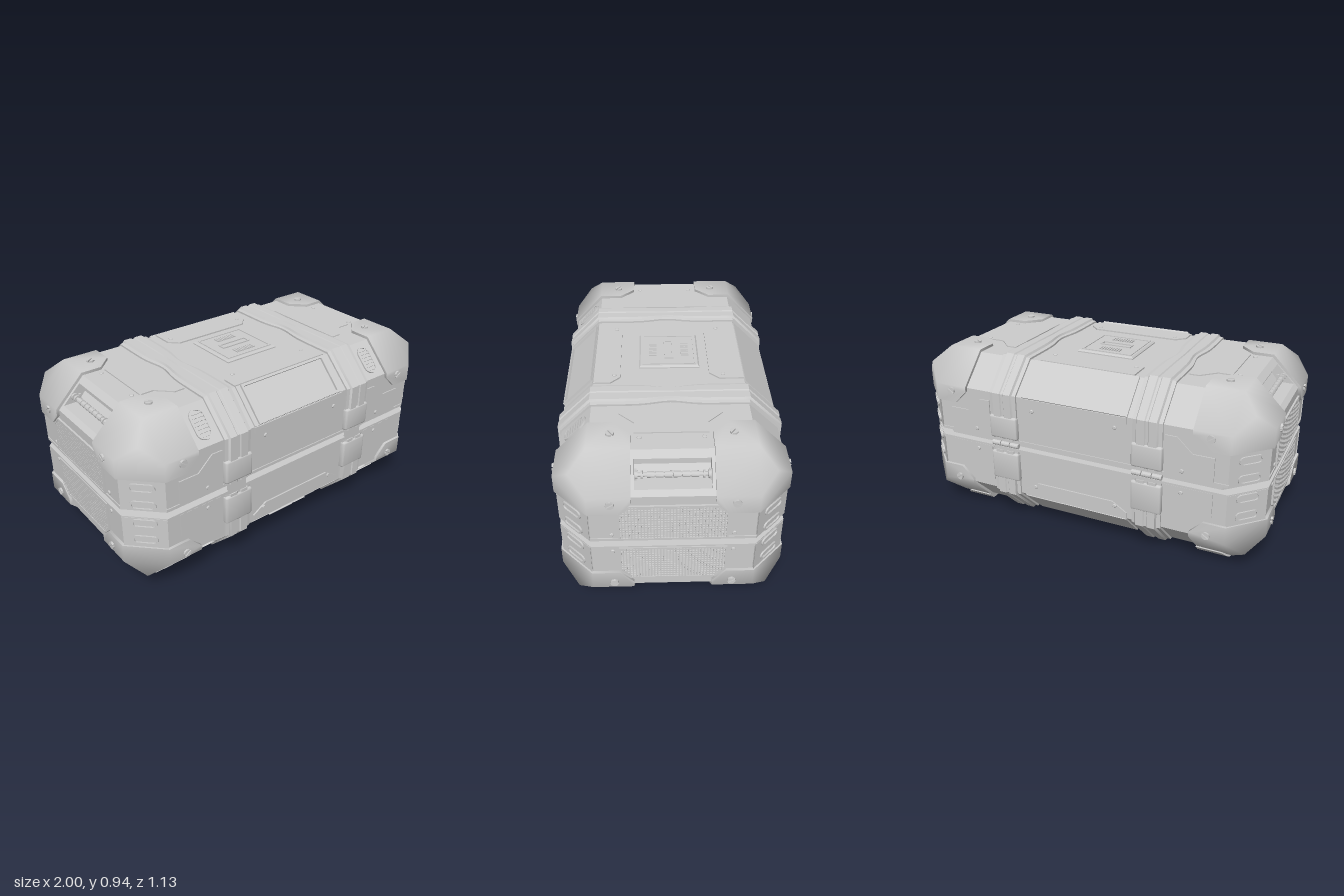
import * as THREE from 'three';
import { mergeGeometries, toCreasedNormals } from 'three/addons/utils/BufferGeometryUtils.js';
import { ConvexGeometry } from 'three/addons/geometries/ConvexGeometry.js';
import { RoundedBoxGeometry } from 'three/addons/geometries/RoundedBoxGeometry.js';

// Everything is modelled for the +x, upper, front corner, with the seam at y = 0, then mirrored.
const SEAM = 0.4765;
const V = (x, y, z) => new THREE.Vector3(x, y, z);
const mirrors = (xs, ys, zs) => xs.flatMap(x => ys.flatMap(y => zs.map(z => [x, y, z])));
const B = [1, -1], P = [1], N = [-1];
const ALL = mirrors(B, B, B), ONE = mirrors(P, P, P), SMOOTH = 1.1;

// Position-only, non-indexed copy, mirrored with its winding kept outward.
function mirrored(geo, s) {
  const g = geo.index ? geo.toNonIndexed() : geo.clone();
  for (const k of Object.keys(g.attributes)) if (k !== 'position') g.deleteAttribute(k);
  g.clearGroups();
  g.scale(...s);
  if (s[0] * s[1] * s[2] < 0) {
    const p = g.attributes.position, a = V(), b = V();
    for (let i = 0; i < p.count; i += 3) {
      a.fromBufferAttribute(p, i + 1);
      b.fromBufferAttribute(p, i + 2);
      p.setXYZ(i + 1, b.x, b.y, b.z);
      p.setXYZ(i + 2, a.x, a.y, a.z);
    }
  }
  return g;
}

// Convex solid from half-spaces [nx, ny, nz, d]: n.p <= d
function hull(planes) {
  const pts = [];
  for (let i = 0; i < planes.length; i++) for (let j = 0; j < i; j++) for (let k = 0; k < j; k++) {
    const [a, b, c] = [planes[i], planes[j], planes[k]];
    const m = new THREE.Matrix3().set(...a.slice(0, 3), ...b.slice(0, 3), ...c.slice(0, 3));
    if (Math.abs(m.determinant()) < 1e-6) continue;
    const p = V(a[3], b[3], c[3]).applyMatrix3(m.invert());
    if (planes.every(q => q[0] * p.x + q[1] * p.y + q[2] * p.z <= q[3] + 1e-6) &&
      !pts.some(q => q.distanceTo(p) < 1e-4)) pts.push(p);
  }
  return new ConvexGeometry(pts);
}

// Outer planes of the chamfered case, grown by e
const shell = e => [[1, 0, 0, 0.975 + e], [0, 1, 0, 0.44 + e], [0, 0, 1, 0.54 + e],
  [1, 1, 0, 1.265 + 1.4 * e], [0, 1, 1, 0.825 + 1.4 * e], [1, 0, 1, 1.36 + 1.4 * e]];

// Face frames: origin, u, v, normal
const frame = (o, u, v) => new THREE.Matrix4()
  .makeBasis(u.normalize(), v.normalize(), u.clone().cross(v)).setPosition(o);
const FRONT = frame(V(0, 0, 0.54), V(1, 0, 0), V(0, 1, 0));
const END = frame(V(0.975, 0, 0), V(0, 0, -1), V(0, 1, 0));
const TOP = frame(V(0, 0.44, 0), V(1, 0, 0), V(0, 0, -1));
const SLOPE = frame(V(0, 0.3625, 0.4625), V(1, 0, 0), V(0, 1, -1));
const CORNER = frame(V(0.8975, 0, 0.4625), V(1, 0, -1), V(0, 1, 0));

const poly = pts => new THREE.Shape(pts.map(p => new THREE.Vector2(...p)));
const rect = (x, y, w, h) => poly([[x - w, y - h], [x + w, y - h], [x + w, y + h], [x - w, y + h]]);
function capsule(x, y, w, h) {
  const r = Math.min(w, h), s = new THREE.Shape();
  s.absarc(x + w - r, y + h - r, r, 0, Math.PI / 2);
  s.absarc(x - w + r, y + h - r, r, Math.PI / 2, Math.PI);
  s.absarc(x - w + r, y - h + r, r, Math.PI, Math.PI * 1.5);
  s.absarc(x + w - r, y - h + r, r, Math.PI * 1.5, Math.PI * 2);
  return s;
}
const ring = (outer, inner) => { outer.holes.push(inner); return outer; };

// Thin plate on a face, from height w to w + t
function plate(face, shape, t, w = 0, bevel = 0) {
  return new THREE.ExtrudeGeometry(shape, {
    depth: t + 0.01 - bevel, curveSegments: 6, bevelEnabled: bevel > 0,
    bevelThickness: bevel, bevelSize: bevel, bevelOffset: -bevel, bevelSegments: 1
  }).translate(0, 0, w - 0.01).applyMatrix4(face);
}
const halfDisc = (x, y, r, a) => { const s = new THREE.Shape(); s.absarc(x, y, r, a + 0.15, a + Math.PI - 0.15); return s; };

// Strap over the upper half: a broad raised band with low edges, swept along the case outline
function strap() {
  const sec = [[-0.083, -0.02], [-0.083, 0.01], [-0.062, 0.013], [-0.055, 0.0235], [-0.012, 0.0235], [-0.007, 0.018],
    [0.007, 0.018], [0.012, 0.0235], [0.055, 0.0235], [0.062, 0.013], [0.083, 0.01], [0.083, -0.02]];
  const path = [[0.54, 0.03, 1, 0], [0.54, 0.285, 1, 0.414]];
  for (let i = 0; i <= 28; i++) path.push([0.385 - i * 0.0275, 0.44, i === 0 ? 0.414 : i === 28 ? -0.414 : 0, 1]);
  path.push([-0.54, 0.285, -1, 0.414], [-0.54, 0.03, -1, 0]);
  const pos = [], idx = [], n = sec.length;
  path.forEach(([z, y, nz, ny], i) => {
    const k = y > 0.43 ? 1 - 0.3 * Math.exp(-((z / 0.1) ** 2)) : 0.95;
    for (const [x, h] of sec) pos.push(0.41 + x * k, y + ny * h, z + nz * h);
    if (i) for (let j = 0; j < n; j++) {
      const a = (i - 1) * n + j, b = (i - 1) * n + (j + 1) % n;
      idx.push(a, b, a + n, b, b + n, a + n);
    }
  });
  const g = new THREE.BufferGeometry();
  g.setAttribute('position', new THREE.Float32BufferAttribute(pos, 3));
  g.setIndex(idx);
  return g;
}

export function createModel() {
  const root = new THREE.Group(), model = new THREE.Group();
  root.name = 'storageCase';
  model.position.y = SEAM;
  root.add(model);
  const mat = new THREE.MeshStandardMaterial({ color: 0xcccccc, side: THREE.DoubleSide });
  const put = (name, geos, at = ONE, crease = 0.5) => {
    const parts = [geos].flat().flatMap(g => at.map(s => mirrored(g, s)));
    const mesh = new THREE.Mesh(toCreasedNormals(mergeGeometries(parts), crease), mat);
    mesh.name = name;
    model.add(mesh);
  };
  const HALVES = mirrors(P, B, P), SIDES = mirrors(P, B, B), ENDS = mirrors(B, B, P);
  const FRONTS = mirrors(B, P, P);

  // Case halves: solid front and rear, middle slice notched for the handle pockets
  put('caseSides', hull([...shell(0), [-1, 0, 0, 0], [0, -1, 0, -0.02], [0, 0, -1, -0.175]]), ALL);
  const half = [[0.975, 0.02], [0.975, 0.29], [0.952, 0.313], [0.87, 0.313], [0.83, 0.36], [0.83, 0.41], [0.855, 0.41], [0.825, 0.44]];
  const slice = poly([...half, ...half.slice().reverse().map(([x, y]) => [-x, y])]);
  put('caseMiddle', new THREE.ExtrudeGeometry(slice, { depth: 0.35, bevelEnabled: false }).translate(0, 0, -0.175), HALVES);
  put('core', hull([[1, 0, 0, 0.92], [0, 0, 1, 0.505], [1, 0, 1, 1.29], [0, 1, 0, 0.03], [0, -1, 0, 0], [-1, 0, 0, 0], [0, 0, -1, 0]]), ALL);
  put('seamLip', hull([...shell(0.005), [0, 1, 0, 0.034], [0, -1, 0, -0.019], [-1, 0, 0, 0], [0, 0, -1, 0]]), ALL);

  // Corner guards with clipped corners, and the feet below
  const clip = [[-1, 0, 0, -0.64], [0, -1, 0, -0.195], [0, 0, -1, -0.19],
    [-1, -1, 0, -0.905], [-1, 0, -1, -0.91], [0, -1, -1, -0.45]];
  put('cornerGuard', hull([...shell(0.015), ...clip]), ALL, SMOOTH);
  put('foot', hull([[1, 1, 0, 1.292], [0, 1, 1, 0.857], [1, 0, 1, 1.19], [0, 1, 0, SEAM], [0, -1, 0, -0.44],
    [-1, 0, 0, -0.64], [0, 0, -1, -0.2], [-1, 0, -1, -0.92]]), mirrors(B, N, B));
  put('cornerPanel', hull([...shell(0.007), [0, 1, 0, 0.195], [0, -1, 0, -0.025], [-1, 0, 0, -0.825], [0, 0, -1, -0.39]]), ALL, SMOOTH);
  put('cornerSlot', [0.053, 0.15].map(y =>
    plate(CORNER, ring(capsule(0, y, 0.064, 0.024), capsule(0, y, 0.054, 0.016)), 0.006, 0.009)), ALL);

  // Straps, buckles, latches and hinges
  put('strap', strap(), ENDS);
  const buckle = (h, y) => new RoundedBoxGeometry(0.165, h, 0.05, 2, 0.012).translate(0.41, y, 0.541);
  put('upperBuckle', buckle(0.13, 0.103), mirrors(B, P, B));
  put('lowerBuckle', buckle(0.165, 0.124), mirrors(B, N, B));
  put('latch', new THREE.BoxGeometry(0.11, 0.09, 0.012).translate(0.41, 0, 0.54), FRONTS);
  put('hinge', [-0.055, 0, 0.055].map(x =>
    new THREE.CylinderGeometry(0.014, 0.014, 0.05, 12).rotateZ(Math.PI / 2).translate(0.41 + x, 0, -0.546)), FRONTS);

  // Raised panels on front, back, top and bottom
  put('centrePanel', plate(FRONT, poly([[-0.3, 0.285], [-0.3, 0.25], [-0.22, 0.2], [0.22, 0.2], [0.3, 0.25], [0.3, 0.285]]), 0.008), SIDES);
  put('slopePanel', plate(SLOPE, rect(0, 0, 0.3, 0.11), 0.008), SIDES);
  const flap = (w, z) => poly([[-w, -0.385], [w, -0.385], [w, -z - 0.05], [w - 0.05, -z], [0.05 - w, -z], [-w, -z - 0.05]]);
  put('frontFlap', plate(TOP, flap(0.3, 0.25), 0.008), HALVES);
  put('rearFlap', plate(TOP, flap(0.27, 0.21), 0.008), mirrors(P, B, N));
  put('sidePanel', plate(FRONT, poly([[0.5, 0.03], [0.75, 0.03], [0.75, 0.16], [0.64, 0.16], [0.56, 0.235], [0.5, 0.235]]), 0.006), ALL);
  put('topEndPanel', plate(TOP, poly([[0.505, -0.25], [0.56, -0.25], [0.635, -0.175], [0.71, -0.175],
    [0.71, 0.175], [0.635, 0.175], [0.56, 0.25], [0.505, 0.25]]), 0.006), ENDS);

  // Lid plate with two small grilles and a bar
  put('lidPlate', plate(TOP, rect(0, 0.005, 0.163, 0.158), 0.014, 0, 0.008));
  put('lidPlateRim', plate(TOP, ring(rect(0, 0.005, 0.145, 0.14), rect(0, 0.005, 0.137, 0.132)), 0.004, 0.014));
  put('lidBar', plate(TOP, ring(rect(0, 0.005, 0.09, 0.024), rect(0, 0.005, 0.082, 0.017)), 0.006, 0.014));
  const ribs = [];
  for (const y of [-0.08, 0.09]) for (let i = 0; i < 9; i++) ribs.push(plate(TOP, rect(-0.056 + i * 0.014, y, 0.0045, 0.02), 0.006, 0.014));
  put('lidGrille', ribs);

  // Display on the upper front slope, triangles on the lower one
  put('displayFrame', plate(SLOPE, ring(rect(0, 0, 0.275, 0.108), rect(0, 0, 0.262, 0.095)), 0.012, 0.008));
  const tri = (s, k) => poly([[-0.083 * k, -0.048 * k], [0.083 * k, -0.048 * k], [0, 0.096 * k]].map(([x, y]) => [x + s * 0.083, s * (0.015 - y)]));
  put('triangleMarks', [1, -1].map(s => plate(SLOPE, ring(tri(s, 1), tri(s, 0.78)), 0.008, 0.008)), mirrors(P, N, P));
  put('triangleFill', [1, -1].map(s => plate(SLOPE, tri(s, 0.62), 0.006, 0.008)), mirrors(P, N, P));

  // Louvred vents above, plain slots below
  const louvres = [-3, -2, -1, 0, 1, 2, 3].map(i => plate(SLOPE, rect(0.565, i * 0.019, 0.034, 0.006), 0.006));
  put('louvreVent', [plate(SLOPE, ring(capsule(0.565, 0, 0.044, 0.08), capsule(0.565, 0, 0.034, 0.07)), 0.008), ...louvres], FRONTS);
  put('lowerSlot', plate(SLOPE, ring(capsule(0.565, 0, 0.042, 0.08), capsule(0.565, 0, 0.032, 0.068)), 0.01), mirrors(B, N, P));

  // Mesh grilles on both ends
  const edge = poly([[-0.255, 0.028], [0.255, 0.028], [0.255, 0.19], [0.205, 0.24], [-0.205, 0.24], [-0.255, 0.19]]);
  const inner = poly([[-0.246, 0.037], [0.246, 0.037], [0.246, 0.186], [0.2, 0.231], [-0.2, 0.231], [-0.246, 0.186]]);
  put('grilleFrame', plate(END, ring(edge, inner), 0.01), ENDS);
  const bars = [];
  for (let i = -16; i <= 16; i++) {
    const u = i * 0.0148, top = Math.min(0.231, 0.431 - Math.abs(u));
    bars.push(plate(END, rect(u, (top + 0.037) / 2, 0.003, (top - 0.037) / 2), 0.008));
  }
  for (let i = 0; i < 13; i++) {
    const v = 0.046 + i * 0.0148;
    bars.push(plate(END, rect(0, v, Math.min(0.246, 0.431 - v), 0.003), 0.007));
  }
  put('grilleMesh', bars, ENDS);

  // Carrying handles in the upper pockets
  const rod = (r, h, z) => new THREE.CylinderGeometry(r, r, h, 14).rotateX(Math.PI / 2).translate(0.89, 0.348, z);
  const grips = [-2.5, -1.5, -0.5, 0.5, 1.5, 2.5].map(i => rod(0.015, 0.034, i * 0.04));
  const mounts = B.flatMap(s => [rod(0.018, 0.01, s * 0.14), rod(0.02, 0.012, s * 0.165),
    new THREE.BoxGeometry(0.04, 0.035, 0.012).translate(0.878, 0.338, s * 0.17)]);
  put('handle', [rod(0.01, 0.34, 0), ...grips, ...mounts], mirrors(B, P, P));

  // Slotted screws on the guards, small rivets on the panels
  const screw = (face, x, y) => [0, Math.PI].map(a => plate(face, halfDisc(x, y, 0.02, a + 0.6), 0.01, 0.015));
  put('screw', [...screw(FRONT, 0.73, 0.262), ...screw(END, -0.285, 0.26), ...screw(TOP, 0.73, -0.285)], ALL);
  const rivet = (face, x, y, w) => plate(face, capsule(x, y, 0.011, 0.011), 0.006, w, 0.003);
  put('rivet', [rivet(FRONT, 0.59, 0.06, 0.006), rivet(FRONT, 0.235, 0.222, 0.008), rivet(END, -0.285, 0.055, 0),
    rivet(TOP, 0.235, -0.28, 0.008), rivet(TOP, 0.74, -0.15, 0)], ALL);
  return root;
}
